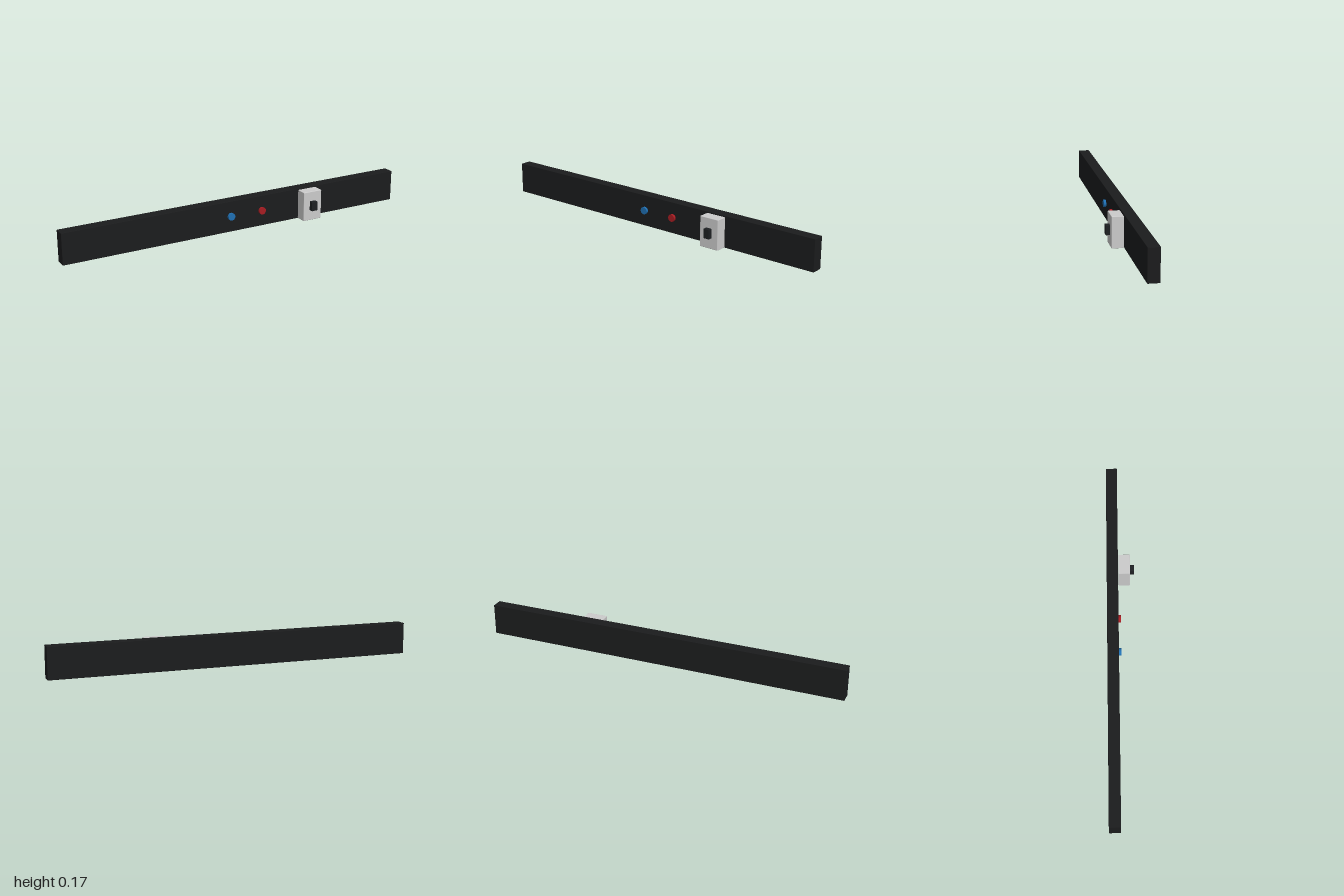
import * as THREE from 'three';
import { RoundedBoxGeometry } from 'three/addons/geometries/RoundedBoxGeometry.js';

// Add a named mesh to the group
function add(group, name, geometry, color, x, y, z) {
  const mesh = new THREE.Mesh(geometry, new THREE.MeshStandardMaterial({ color }));
  mesh.name = name;
  mesh.position.set(x, y, z);
  group.add(mesh);
  return mesh;
}

export function createModel() {
  const group = new THREE.Group();
  group.name = 'controlBar';

  // Long dark panel
  add(group, 'panel', new RoundedBoxGeometry(2, 0.171, 0.061, 2, 0.002), 0x1b1c1d, 0, 0.0855, -0.0435);

  // Round push buttons on the panel face
  const button = new THREE.CylinderGeometry(0.02, 0.02, 0.024, 24).rotateX(Math.PI / 2);
  add(group, 'blueButton', button, 0x1f6fb2, -0.054, 0.087, -0.012);
  add(group, 'redButton', button, 0xa81c22, 0.135, 0.087, -0.012);

  // Grey switch housing standing just off the panel
  add(group, 'switchHousing', new RoundedBoxGeometry(0.112, 0.164, 0.062, 2, 0.003), 0xcccccc, 0.42, 0.084, 0.021);

  // Dark switch lever
  add(group, 'switchLever', new RoundedBoxGeometry(0.036, 0.052, 0.029, 2, 0.003), 0x1d2022, 0.42, 0.086, 0.0605);

  return group;
}
